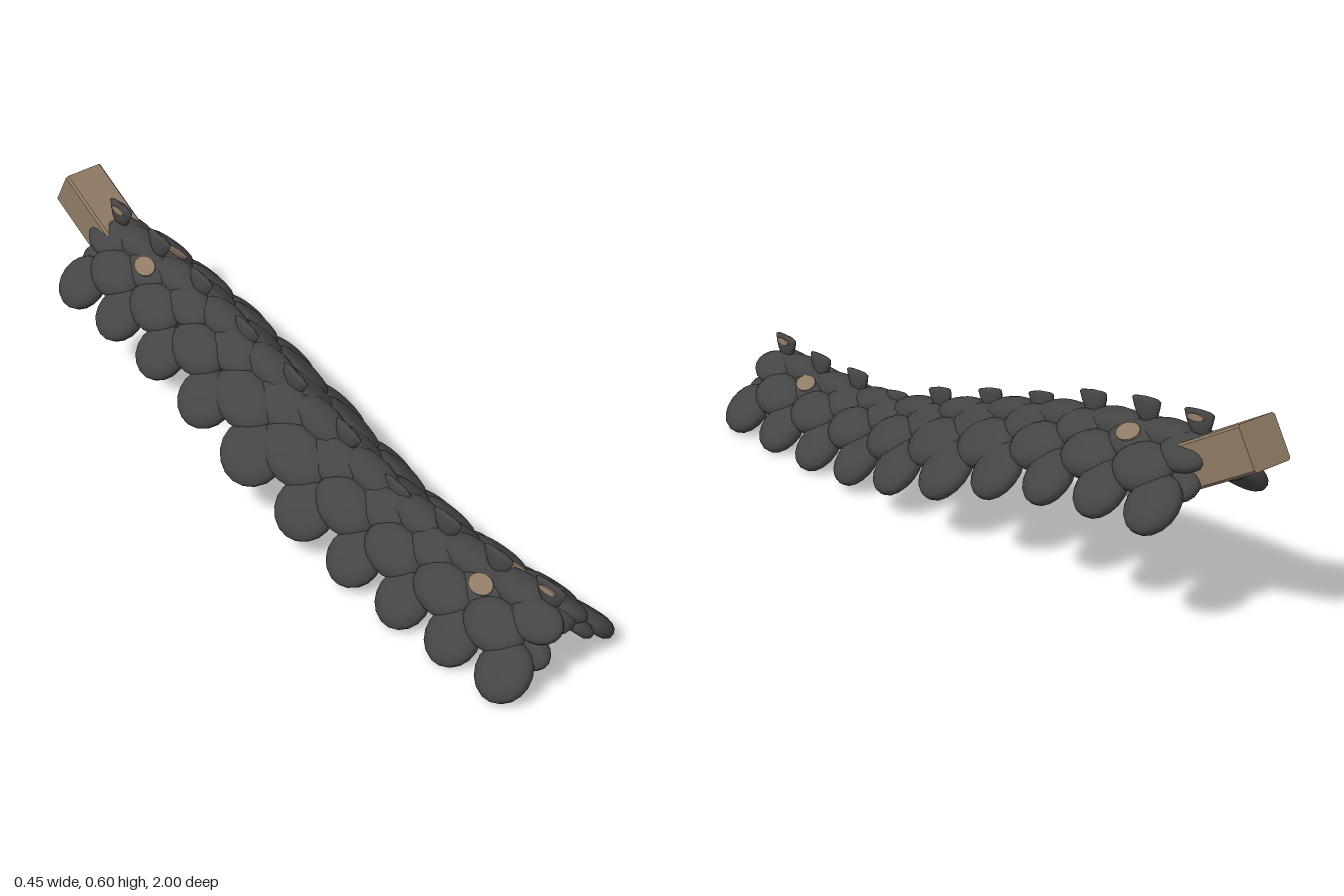
import * as THREE from 'three';

// Ridge line, one [z, y, fin lift] station per pair of scales, front to back
const RIDGE = [[0.922, 0.24, 0.018], [0.748, 0.235, 0.013], [0.57, 0.237, 0.016], [0.388, 0.257, -0.012],
  [0.198, 0.305, 0.01], [-0.012, 0.375, 0.003], [-0.212, 0.435, -0.004], [-0.405, 0.482, 0.013],
  [-0.59, 0.515, 0.02], [-0.765, 0.535, 0.022]];

export function createModel() {
  const slate = new THREE.MeshStandardMaterial({ color: 0x444444 });
  slate.name = 'dark slate';
  const wood = new THREE.MeshStandardMaterial({ color: 0x8f7a65 });
  wood.name = 'brown wood';
  const model = new THREE.Group();
  model.name = 'scaledRidge';

  const add = (name, geometry, material, parent = model) => {
    const mesh = new THREE.Mesh(geometry, material);
    mesh.name = name;
    parent.add(mesh);
    return mesh;
  };

  // Unit scale: a shallow domed disc with a blunt rim
  const scaleGeo = new THREE.LatheGeometry([
    [0, -0.5], [0.8, -0.5], [0.97, -0.3], [1, -0.05], [0.95, 0.18], [0.78, 0.38], [0.55, 0.48], [0, 0.52],
  ].map(([x, y]) => new THREE.Vector2(x, y)), 18);
  const capGeo = new THREE.CylinderGeometry(1, 1, 0.008, 18);
  const lumpGeo = new THREE.SphereGeometry(1, 10, 8);
  // Cup for the fins standing on the ridge, pinched sideways towards its top
  const finGeo = new THREE.LatheGeometry([
    [0, -1], [0.4, -0.9], [0.66, -0.6], [0.86, -0.3], [1, 0], [0.85, 0.08], [0, 0.14],
  ].map(([x, y]) => new THREE.Vector2(x, y)), 12);
  const finPos = finGeo.attributes.position;
  for (let i = 0; i < finPos.count; i++) {
    const rise = Math.max(0, (finPos.getY(i) + 0.6) / 0.74);
    finPos.setX(i, finPos.getX(i) * (1 - 0.7 * rise));
  }
  finGeo.computeVertexNormals();

  // Rows: offset from the ridge, slope angle, then radius down the slope, thickness, radius along z
  const rows = [
    { name: 'lowerScale', x: 0.148, y: -0.168, tilt: 0.76, size: [0.081, 0.05, 0.077], shift: 0 },
    { name: 'middleScale', x: 0.096, y: -0.108, tilt: 0.72, size: [0.068, 0.054, 0.093], shift: 0.5 },
    { name: 'upperScale', x: 0.045, y: -0.064, tilt: 0.63, size: [0.056, 0.042, 0.078], shift: 0 },
    { name: 'underScale', x: 0.078, y: -0.134, tilt: 0.8, size: [0.05, 0.04, 0.076], shift: 0 },
  ];

  // Ridge position and pitch at a fractional station
  const at = (t) => {
    const i = Math.min(Math.floor(t), RIDGE.length - 2);
    const a = RIDGE[i], b = RIDGE[i + 1], f = t - i;
    const p = RIDGE[Math.max(0, Math.round(t) - 1)];
    const q = RIDGE[Math.min(RIDGE.length - 1, Math.round(t) + 1)];
    return {
      z: a[0] + (b[0] - a[0]) * f,
      y: a[1] + (b[1] - a[1]) * f,
      pitch: Math.atan2(q[1] - p[1], p[0] - q[0]),
    };
  };

  // Overlapping scales down both slopes, larger towards the middle
  for (const side of [1, -1]) {
    for (const row of rows) {
      for (let i = 0; i + row.shift <= RIDGE.length - 1; i++) {
        const { z, y, pitch } = at(i + row.shift);
        const swell = Math.exp(-((z - 0.02) ** 2) / 0.05);
        const holder = new THREE.Group();
        holder.name = row.name;
        holder.position.set(side * row.x * (1 + swell * 0.04), y + row.y - swell * 0.008, z);
        holder.rotation.set(pitch, 0, -side * row.tilt);
        model.add(holder);
        add(row.name + 'Disc', scaleGeo, slate, holder)
          .scale.set(row.size[0] * (1 + swell * 0.15), row.size[1], row.size[2] * (1 + swell * 0.25));
        // Brown inlay on two pairs of upper scales
        if (row.name === 'upperScale' && (i === 1 || i === 8)) {
          holder.position.y -= i === 1 ? 0.01 : 0.004;
          const cap = add('inlay', capGeo, wood, holder);
          cap.scale.set(0.027, 1, 0.037);
          cap.position.set(-side * 0.002, row.size[1] * 0.5, 0);
        }
      }
    }
  }

  // Ridge fins and the lumpy core under them
  RIDGE.forEach(([z, y, lift], i) => {
    const { pitch } = at(i);
    const fin = add('ridgeFin', finGeo, slate);
    fin.position.set(0, y + lift, z);
    fin.rotation.x = pitch * 0.9;
    fin.scale.set(0.024, 0.065, 0.05);
    // Brown slivers on the flanks of the end fins
    if (i === 0 || i === RIDGE.length - 1) {
      for (const side of [1, -1]) {
        const chip = add('finInlay', capGeo, wood);
        chip.position.set(side * 0.0125, y + lift - 0.009, z);
        chip.rotation.set(pitch * 0.9, 0, -side * 1.44);
        chip.scale.set(0.009, 0.8, 0.026);
      }
    }
    const core = add('ridgeCore', lumpGeo, slate);
    core.position.set(0, y - 0.07, z);
    core.rotation.x = pitch;
    core.scale.set(0.055, 0.038, 0.075);
  });
  for (let i = 0; i < RIDGE.length - 1; i++) {
    const { z, y, pitch } = at(i + 0.5);
    const crest = add('ridgeCrest', lumpGeo, slate);
    crest.position.set(0, y - 0.06, z);
    crest.rotation.x = pitch;
    crest.scale.set(0.055, 0.045, 0.11);
  }

  // Chamfered wooden beam tucked under the high end
  const w = 0.06, h = 0.0585, c = 0.006;
  const section = new THREE.Shape([
    [-w + c, -h], [w - c, -h], [w, -h + c], [w, h - c], [w - c, h], [-w + c, h], [-w, h - c], [-w, -h + c],
  ].map(([x, y]) => new THREE.Vector2(x, y)));
  const beamGeo = new THREE.ExtrudeGeometry(section, { depth: 0.453, bevelEnabled: false });
  beamGeo.translate(0, 0, -0.2265);
  const beam = add('beam', beamGeo, wood);
  beam.position.set(0, 0.434, -0.775);
  beam.rotation.x = 0.535;

  return model;
}
